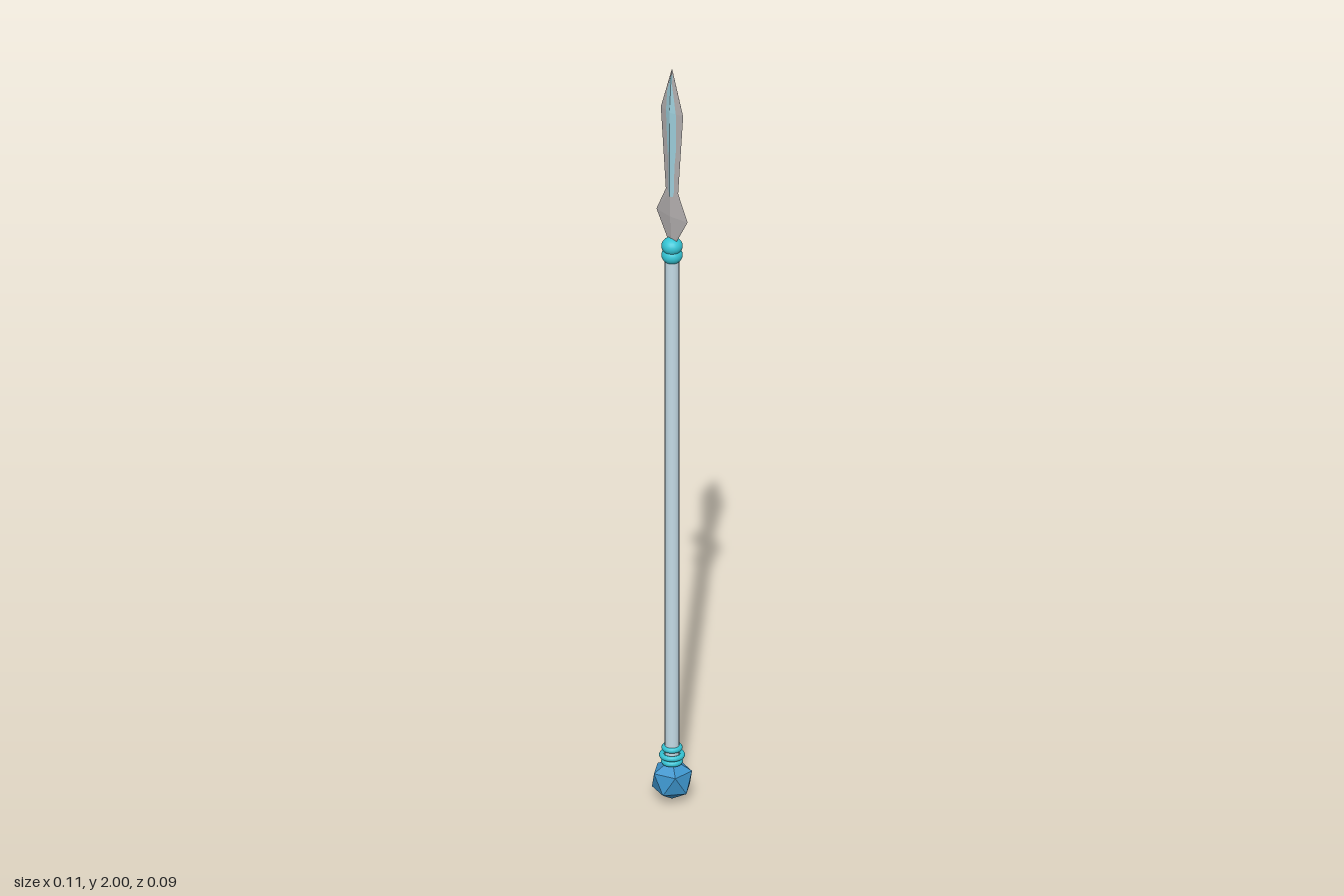
import * as THREE from 'three';

const material = (color, flatShading = false) =>
  new THREE.MeshStandardMaterial({ color, flatShading });

// Lofts a diamond cross-section through [y, halfWidth, halfThickness] rows, bottom to top
function diamondLoft(rows) {
  const pos = [];
  const index = [];
  for (const [y, w, t] of rows) pos.push(w, y, 0, 0, y, t, -w, y, 0, 0, y, -t);
  for (let r = 0; r < rows.length - 1; r++) {
    for (let i = 0; i < 4; i++) {
      const a = r * 4 + i, b = r * 4 + (i + 1) % 4;
      index.push(a, a + 4, b, b, a + 4, b + 4);
    }
  }
  const top = (rows.length - 1) * 4;
  index.push(0, 1, 2, 0, 2, 3, top, top + 2, top + 1, top, top + 3, top + 2);
  const geometry = new THREE.BufferGeometry();
  geometry.setAttribute('position', new THREE.Float32BufferAttribute(pos, 3));
  geometry.setIndex(index);
  const flat = geometry.toNonIndexed();
  flat.computeVertexNormals();
  return flat;
}

export function createModel() {
  const model = new THREE.Group();
  model.name = 'spear';
  const cyan = material(0x35c4d4);

  const add = (name, geometry, mat, y = 0) => {
    const mesh = new THREE.Mesh(geometry, mat);
    mesh.name = name;
    mesh.position.y = y;
    model.add(mesh);
    return mesh;
  };

  // Shaft
  add('shaft', new THREE.CylinderGeometry(0.018, 0.018, 1.39, 16), material(0xc4dbe6), 0.795);

  // Steel spearhead: flared base, narrow neck, leaf-shaped blade
  add('spearhead', diamondLoft([
    [1.52, 0.008, 0.003],
    [1.6, 0.053, 0.007],
    [1.667, 0.021, 0.007],
    [1.885, 0.038, 0.007],
    [2, 0.001, 0.001],
  ]), material(0xb4b0b0, true));

  // Pale blue faces raised along the blade
  add('bladeInlay', diamondLoft([
    [1.655, 0.016, 0.0085],
    [1.885, 0.031, 0.0085],
    [1.985, 0.003, 0.003],
  ]), material(0x9fd0dd, true));

  // Beads below the spearhead
  for (const y of [1.492, 1.517]) {
    const bead = add('collarBead', new THREE.SphereGeometry(0.026, 20, 14), cyan, y);
    bead.scale.y = 0.85;
  }

  // Rings above the pommel
  for (const [y, radius] of [[0.143, 0.019], [0.123, 0.025], [0.106, 0.02]]) {
    const ring = add('pommelRing', new THREE.TorusGeometry(radius, 0.007, 8, 24), cyan, y);
    ring.rotation.x = Math.PI / 2;
  }

  // Faceted pommel standing on one corner
  const pommel = add('pommel', new THREE.IcosahedronGeometry(0.055, 0), material(0x3d94cc, true), 0.057);
  pommel.rotation.z = Math.atan(2 / (1 + Math.sqrt(5)));

  return model;
}
